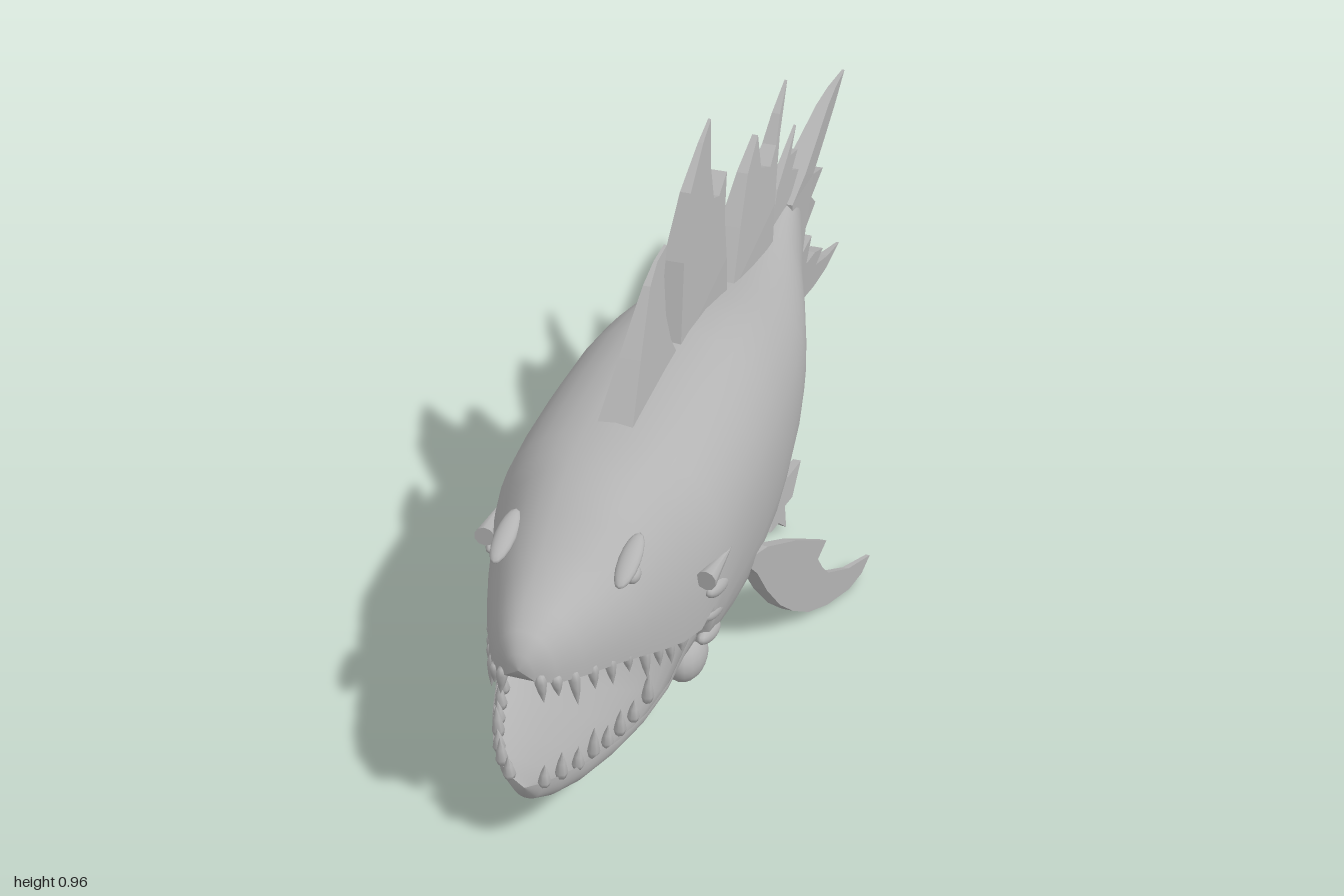
import * as THREE from 'three';

const hide = new THREE.MeshStandardMaterial({ color: 0xb3b3b3 });
hide.name = 'grey hide';

// Cross-sections: [z, top, widest height, bottom, half width].
// In front of z = 0.62 the body's "bottom" is the roof of the mouth.
const BODY = [
  [1.0, 0.42, 0.42, 0.42, 0], [0.995, 0.45, 0.40, 0.40, 0.028], [0.97, 0.48, 0.385, 0.395, 0.058],
  [0.92, 0.50, 0.37, 0.40, 0.088], [0.85, 0.515, 0.35, 0.385, 0.12], [0.79, 0.53, 0.33, 0.37, 0.148],
  [0.74, 0.56, 0.31, 0.35, 0.168], [0.69, 0.58, 0.295, 0.335, 0.188], [0.64, 0.594, 0.29, 0.31, 0.205],
  [0.6, 0.602, 0.32, 0.15, 0.217], [0.55, 0.61, 0.345, 0.115, 0.226], [0.45, 0.618, 0.36, 0.08, 0.23],
  [0.33, 0.627, 0.365, 0.06, 0.23], [0.2, 0.633, 0.37, 0.075, 0.224], [0.1, 0.625, 0.375, 0.105, 0.214],
  [0.0, 0.603, 0.38, 0.145, 0.2], [-0.1, 0.577, 0.39, 0.19, 0.18], [-0.2, 0.557, 0.395, 0.23, 0.152],
  [-0.3, 0.544, 0.4, 0.256, 0.12], [-0.4, 0.54, 0.405, 0.267, 0.085], [-0.5, 0.543, 0.405, 0.265, 0.055],
  [-0.58, 0.54, 0.405, 0.262, 0.03], [-0.66, 0.41, 0.405, 0.4, 0],
];
const JAW = [
  [0.998, 0.16, 0.16, 0.16, 0], [0.99, 0.165, 0.172, 0.13, 0.03], [0.965, 0.155, 0.18, 0.117, 0.06],
  [0.92, 0.145, 0.18, 0.109, 0.09], [0.85, 0.14, 0.18, 0.11, 0.12], [0.77, 0.145, 0.185, 0.12, 0.145],
  [0.7, 0.16, 0.205, 0.137, 0.163], [0.64, 0.2, 0.262, 0.152, 0.18], [0.6, 0.26, 0.3, 0.15, 0.195],
  [0.5, 0.28, 0.3, 0.15, 0.19],
];

function loft(rows, n = 36, e = 0.88) {
  const pos = [], index = [];
  const pw = (v) => Math.sign(v) * Math.abs(v) ** e;
  for (const [z, top, mid, bottom, w] of rows) {
    for (let j = 0; j < n; j++) {
      const a = (j / n) * Math.PI * 2, s = pw(Math.sin(a));
      pos.push(w * pw(Math.cos(a)), mid + (s > 0 ? (top - mid) * s : (mid - bottom) * s), z);
    }
  }
  for (let i = 0; i < rows.length - 1; i++) {
    for (let j = 0; j < n; j++) {
      const k = (j + 1) % n, a = i * n + j, b = a + n, c = (i + 1) * n + k, d = i * n + k;
      index.push(a, b, c, a, c, d);
    }
  }
  const g = new THREE.BufferGeometry();
  g.setAttribute('position', new THREE.Float32BufferAttribute(pos, 3));
  g.setIndex(index);
  g.computeVertexNormals();
  return g;
}

// Fin from a [z, y] outline; thick(z, y) is the half thickness, centre(z, y) the x position.
function finGeometry(outline, thick, centre = () => 0) {
  const shape = new THREE.Shape(outline.map(([z, y]) => new THREE.Vector2(z, y)));
  const g = new THREE.ExtrudeGeometry(shape, { depth: 1, bevelEnabled: false });
  const p = g.attributes.position;
  for (let i = 0; i < p.count; i++) {
    const z = p.getX(i), y = p.getY(i), side = 1 - 2 * p.getZ(i);
    p.setXYZ(i, centre(z, y) + side * thick(z, y), y, z);
  }
  g.computeVertexNormals();
  return g;
}

// Interpolated section of a loft at z
function sectionAt(rows, z) {
  const i = Math.max(1, rows.findIndex((r) => r[0] <= z));
  const a = rows[i - 1], b = rows[i], t = (a[0] - z) / (a[0] - b[0]);
  return a.map((v, k) => v + (b[k] - v) * t);
}

const DORSALS = [
  [[0.525, 0.6], [0.435, 0.7], [0.34, 0.8], [0.29, 0.825], [0.235, 0.83], [0.27, 0.785], [0.29, 0.715],
    [0.285, 0.66], [0.26, 0.61]],
  [[0.255, 0.61], [0.19, 0.77], [0.12, 0.88], [0.03, 0.94], [-0.025, 0.965], [0, 0.88], [0, 0.81],
    [-0.03, 0.8], [-0.085, 0.825], [-0.05, 0.745], [-0.04, 0.66], [-0.03, 0.58]],
  [[-0.065, 0.565], [-0.155, 0.665], [-0.235, 0.745], [-0.32, 0.79], [-0.315, 0.72], [-0.37, 0.695],
    [-0.42, 0.72], [-0.465, 0.77], [-0.535, 0.815], [-0.45, 0.73], [-0.405, 0.665], [-0.37, 0.61], [-0.34, 0.53]],
  [[-0.38, 0.53], [-0.45, 0.6], [-0.53, 0.635], [-0.61, 0.675], [-0.555, 0.63], [-0.605, 0.62],
    [-0.555, 0.595], [-0.6, 0.575], [-0.5, 0.53]],
];
const TAIL = [
  [-0.5, 0.54], [-0.61, 0.56], [-0.72, 0.59], [-0.825, 0.62], [-0.9, 0.63], [-1, 0.63], [-0.905, 0.59], [-0.8, 0.555],
  [-0.69, 0.52], [-0.79, 0.485], [-0.675, 0.47], [-0.72, 0.435], [-0.625, 0.42], [-0.6, 0.37], [-0.69, 0.365],
  [-0.64, 0.32], [-0.73, 0.3], [-0.815, 0.265], [-0.745, 0.26], [-0.87, 0.215], [-1, 0.18], [-0.85, 0.19],
  [-0.72, 0.215], [-0.61, 0.245], [-0.5, 0.268],
];
const ANAL = [
  [-0.25, 0.27], [-0.28, 0.2], [-0.305, 0.155], [-0.275, 0.12], [-0.345, 0.105], [-0.41, 0.145],
  [-0.46, 0.175], [-0.51, 0.19], [-0.44, 0.205], [-0.42, 0.28],
];
const PELVIC = [
  [0.03, 0.19], [0.015, 0.115], [-0.02, 0.07], [0, 0.05], [-0.05, 0.04], [-0.09, 0.005], [-0.1, 0.05],
  [-0.15, 0.04], [-0.23, 0.08], [-0.14, 0.095], [-0.09, 0.13], [-0.065, 0.22],
];
const PECTORAL = [
  [0.4, 0.27], [0.36, 0.22], [0.33, 0.16], [0.29, 0.1], [0.25, 0.06], [0.2, 0.025], [0.14, 0.005], [0.07, 0],
  [0.03, 0.015], [0.005, 0.045], [0.075, 0.055], [0.14, 0.085], [0.16, 0.11], [0.175, 0.14], [0.15, 0.17],
  [0.25, 0.23], [0.33, 0.265],
];

export function createModel() {
  const group = new THREE.Group();
  const add = (name, geometry, x = 0, y = 0, z = 0) => {
    const m = new THREE.Mesh(geometry, hide);
    m.name = name;
    m.position.set(x, y, z);
    group.add(m);
    return m;
  };

  add('bodyAndUpperJaw', loft(BODY));
  add('lowerJaw', loft(JAW));

  // Fins on the centre line
  DORSALS.forEach((outline, i) => {
    const top = Math.max(...outline.map((p) => p[1])), base = outline[0][1];
    const t = i === 3 ? 0.015 : 0.032;
    add('dorsalFin' + (i + 1), finGeometry(outline, (z, y) => 0.003 + t * Math.min(1, (top - y) / (top - base))));
  });
  add('tailFin', finGeometry(TAIL, (z) => 0.003 + 0.027 * Math.min(1, (z + 1) / 0.45)));
  add('analFin', finGeometry(ANAL, (z, y) => 0.004 + 0.08 * Math.max(0, y - 0.1)));

  const ball = new THREE.SphereGeometry(1, 16, 10);
  const toothGeometry = new THREE.LatheGeometry(
    [[0, 0], [0.7, 0.05], [1, 0.25], [0.65, 0.6], [0, 1]].map(([x, y]) => new THREE.Vector2(x, y)), 7);
  const tooth = (name, x, y, z, r, length, tilt) => {
    const m = add(name, toothGeometry, x, y, z);
    m.scale.set(r, Math.abs(length), r);
    m.rotation.z = (length < 0 ? Math.PI : 0) + tilt;
  };

  for (const s of [1, -1]) {
    const side = s > 0 ? 'left' : 'right';

    // Paired fins
    add(side + 'PectoralFin', finGeometry(PECTORAL, (z) => 0.004 + 0.03 * Math.max(0, z),
      (z) => s * (0.2 + (0.38 - z) * 0.4)));
    add(side + 'PelvicFin', finGeometry(PELVIC, (z, y) => 0.004 + 0.06 * Math.max(0, y),
      (z, y) => s * (0.145 - 0.2 * y)));

    // Eye under a sloping brow
    add(side + 'Eye', ball, s * 0.122, 0.482, 0.765).scale.set(0.013, 0.015, 0.02);
    const brow = add(side + 'Brow', ball, s * 0.115, 0.51, 0.765);
    brow.scale.set(0.02, 0.013, 0.06);
    brow.rotation.x = 0.35;

    // Cheek spike, gill folds and jaw hinge
    const spike = add(side + 'CheekSpike', new THREE.ConeGeometry(0.02, 0.12, 10), s * 0.218, 0.4, 0.58);
    spike.rotation.set(-Math.PI / 2, 0, -s * 0.1);
    for (let i = 0; i < 3; i++) {
      const fold = add(side + 'GillFold' + (i + 1), ball, s * (0.212 - i * 0.008), 0.345 - i * 0.055, 0.575);
      fold.scale.set(0.016, 0.018, 0.055);
      fold.rotation.x = -0.3;
    }
    add(side + 'JawHinge', ball, s * 0.16, 0.19, 0.595).scale.set(0.038, 0.05, 0.06);

    // Teeth along both lips
    [0.988, 0.968, 0.935, 0.895, 0.855, 0.815, 0.775, 0.74, 0.71, 0.68].forEach((z, i) => {
      const [, , y, , w] = sectionAt(BODY, z);
      tooth(side + 'UpperTooth' + (i + 1), s * w * 0.92, y + 0.015, z, 0.011, -[0.06, 0.045, 0.075, 0.055][i % 4], s * 0.1);
    });
    [0.985, 0.962, 0.93, 0.895, 0.86, 0.825, 0.785, 0.74].forEach((z, i) => {
      const [, , y, , w] = sectionAt(JAW, z);
      tooth(side + 'LowerTooth' + (i + 1), s * w * 0.88, y - 0.012, z, 0.012, [0.05, 0.06, 0.05, 0.07][i % 4], -s * 0.06);
    });
  }
  return group;
}
